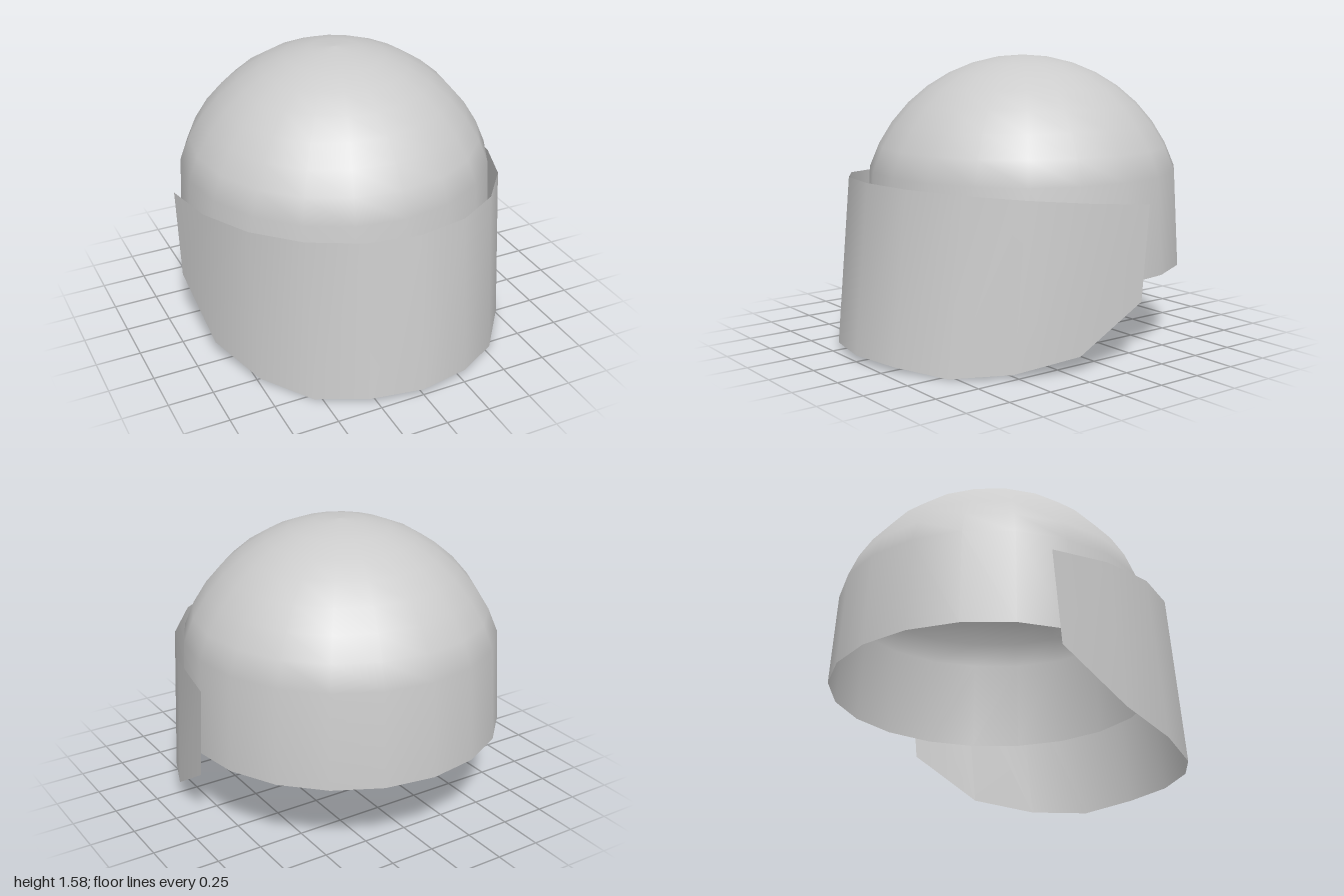
import * as THREE from 'three';

const material = new THREE.MeshStandardMaterial({ color: 0xcccccc, side: THREE.DoubleSide });

// Open shell: flared skirt running up into a spherical cap
function createShell() {
  const radius = 0.91, centreY = 0.66;
  const profile = [new THREE.Vector2(0.895, 0.42)];
  for (let i = 8; i >= 0; i--) {
    const a = (i * Math.PI) / 20;
    profile.push(new THREE.Vector2(radius * Math.sin(a), centreY + radius * Math.cos(a)));
  }
  const shell = new THREE.Mesh(new THREE.LatheGeometry(profile, 20), material);
  shell.name = 'helmetShell';
  shell.position.z = -0.105;
  return shell;
}

// Tilted visor: half an elliptic tube whose lower edge rises towards the sides
function createVisor() {
  const drops = [0.91, 0.91, 0.925, 0.876, 0.78, 0.508]; // from the middle outwards
  const geometry = new THREE.CylinderGeometry(1, 1, 1, 10, 1, true, -Math.PI / 2, Math.PI);
  const pos = geometry.attributes.position;
  for (let i = 0; i < pos.count; i++) {
    const step = Math.abs((i % 11) - 5);
    pos.setY(i, pos.getY(i) > 0 ? 0 : -drops[step]);
  }
  geometry.scale(0.92, 1, 1.14);
  geometry.computeVertexNormals();
  const visor = new THREE.Mesh(geometry, material);
  visor.name = 'visor';
  visor.position.set(0, 0.825, -0.22);
  visor.rotation.x = -0.093;
  return visor;
}

export function createModel() {
  const model = new THREE.Group();
  model.name = 'helmet';
  model.add(createShell(), createVisor());
  return model;
}
